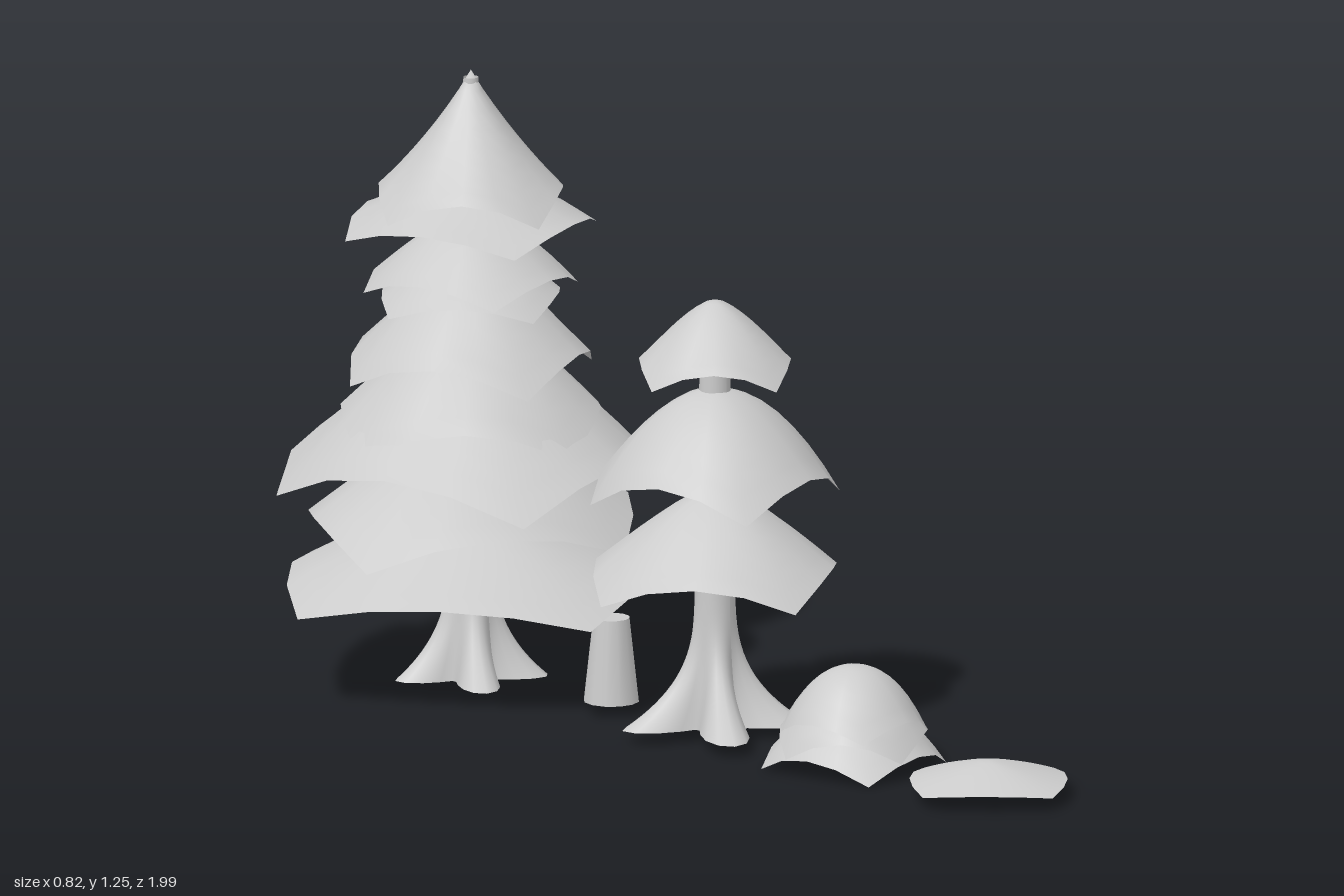
import * as THREE from 'three';

const material = new THREE.MeshStandardMaterial({ color: 0xcccccc, side: THREE.DoubleSide });

// Open four-cornered shell: bulging square outline, corners hanging lower than the sides.
function shell(name, { r, tip, top, turn = 0, power = 1.5, rise = 0.25, bulge = 0.11, sz = 1 }) {
  const perSide = 4, rings = 8, n = perSide * 4;
  const pos = [0, top, 0], index = [];
  for (let j = 1; j <= rings; j++) {
    const t = j / rings;
    for (let i = 0; i < n; i++) {
      const s = (i % perSide) / perSide, hump = 4 * s * (1 - s);
      const a = 1 - s + bulge * hump, b = s + bulge * hump;
      const angle = Math.atan2(b, a) + Math.floor(i / perSide) * Math.PI / 2 + THREE.MathUtils.degToRad(turn);
      const radius = r * t * Math.hypot(a, b);
      const drop = (top - tip) * Math.pow(t, power) * (1 - rise * hump * t);
      pos.push(radius * Math.cos(angle), top - drop, radius * Math.sin(angle) * sz);
    }
  }
  for (let i = 0; i < n; i++) {
    const k = (i + 1) % n;
    index.push(0, 1 + k, 1 + i);
    for (let j = 0; j < rings - 1; j++) {
      const a = 1 + j * n + i, b = 1 + j * n + k;
      index.push(a, b, a + n, b, b + n, a + n);
    }
  }
  const g = new THREE.BufferGeometry();
  g.setAttribute('position', new THREE.Float32BufferAttribute(pos, 3));
  g.setIndex(index);
  g.computeVertexNormals();
  const mesh = new THREE.Mesh(g, material);
  mesh.name = name;
  return mesh;
}

// Root directions in degrees and their relative lengths
const ROOTS = [[49, 0.95], [127, 1.05], [207, 1], [340, 0.9]];

// Tapered trunk whose foot spreads into four pointed roots.
function trunk({ rBase, rTop, bottom, height, flare, reach }) {
  const g = new THREE.CylinderGeometry(1, 1, 1, 40, 40, true);
  const p = g.attributes.position;
  for (let i = 0; i < p.count; i++) {
    const v = Math.pow(p.getY(i) + 0.5, 1.8); // more rings near the foot
    const y = bottom + v * (height - bottom);
    const angle = Math.atan2(p.getZ(i), p.getX(i));
    const t = Math.max(0, (flare - y) / (flare - bottom));
    let spread = 0;
    for (const [deg, length] of ROOTS) {
      const c = Math.max(0, Math.cos(angle - THREE.MathUtils.degToRad(deg)));
      spread = Math.max(spread, length * Math.pow(c, 9));
    }
    const radius = THREE.MathUtils.lerp(rBase, rTop, v) + reach * spread * Math.pow(t, 3.2);
    p.setXYZ(i, radius * Math.cos(angle), y, radius * Math.sin(angle));
  }
  g.computeVertexNormals();
  const mesh = new THREE.Mesh(g, material);
  mesh.name = 'trunk';
  return mesh;
}

function plant(name, z, parts) {
  const group = new THREE.Group();
  group.name = name;
  group.position.z = z;
  group.add(...parts);
  return group;
}

const shells = (name, list) => list.map((o, i) => shell(name + (i + 1), o));

export function createModel() {
  const model = new THREE.Group();
  model.name = 'forestSet';

  // Tall layered tree at the back
  model.add(plant('tallTree', -0.59, [
    trunk({ rBase: 0.05, rTop: 0.015, bottom: 0.02, height: 1.24, flare: 0.3, reach: 0.11 }),
    ...shells('branchLayer', [
      { r: 0.418, tip: 0.19, top: 0.41, turn: 12.5, power: 1.25, rise: 0.2 },
      { r: 0.397, tip: 0.305, top: 0.55, turn: -13, power: 1.5, rise: 0.25, sz: 0.86 },
      { r: 0.4, tip: 0.41, top: 0.72, turn: 32, power: 1.5 },
      { r: 0.3, tip: 0.51, top: 0.75, turn: 5, power: 1.7 },
      { r: 0.265, tip: 0.635, top: 0.86, turn: 22, power: 1.6 },
      { r: 0.205, tip: 0.775, top: 0.9, turn: 10, power: 1.8 },
      { r: 0.218, tip: 0.81, top: 0.965, turn: 35, power: 1.6 },
      { r: 0.264, tip: 0.925, top: 1.05, turn: 28, power: 1.5, rise: 0.3 },
      { r: 0.213, tip: 0.968, top: 1.255, turn: 8, power: 0.95, rise: 0.18 },
    ]),
  ]));

  // Smaller tree with three separated layers
  model.add(plant('smallTree', 0.07, [
    trunk({ rBase: 0.046, rTop: 0.028, bottom: 0.03, height: 0.87, flare: 0.31, reach: 0.15 }),
    ...shells('branchLayer', [
      { r: 0.277, tip: 0.305, top: 0.51, turn: 12, power: 1.55 },
      { r: 0.255, tip: 0.49, top: 0.715, turn: 33, power: 2, rise: 0.28 },
      { r: 0.175, tip: 0.735, top: 0.895, turn: 3, power: 1.55 },
    ]),
  ]));

  // Rounded bush of nested shells
  model.add(plant('bush', 0.445, shells('bushLayer', [
    { r: 0.186, tip: 0.005, top: 0.14, turn: 38, power: 2.1, rise: 0.3 },
    { r: 0.165, tip: 0.04, top: 0.18, turn: 12, power: 2.5, rise: 0.3, bulge: 0.13 },
    { r: 0.145, tip: 0.08, top: 0.21, turn: 40, power: 2.4, rise: 0.25, bulge: 0.15 },
  ])));

  // Low ground patch
  model.add(plant('groundPatch', 0.81, [
    shell('patch', { r: 0.182, tip: 0.03, top: 0.077, turn: 3, power: 1.4, rise: 0.2 }),
  ]));

  // Tree stump between the two trees
  const stump = new THREE.Mesh(new THREE.CylinderGeometry(0.037, 0.056, 0.17, 12), material);
  stump.name = 'stump';
  stump.position.set(0, 0.115, -0.21);
  model.add(stump);

  return model;
}
